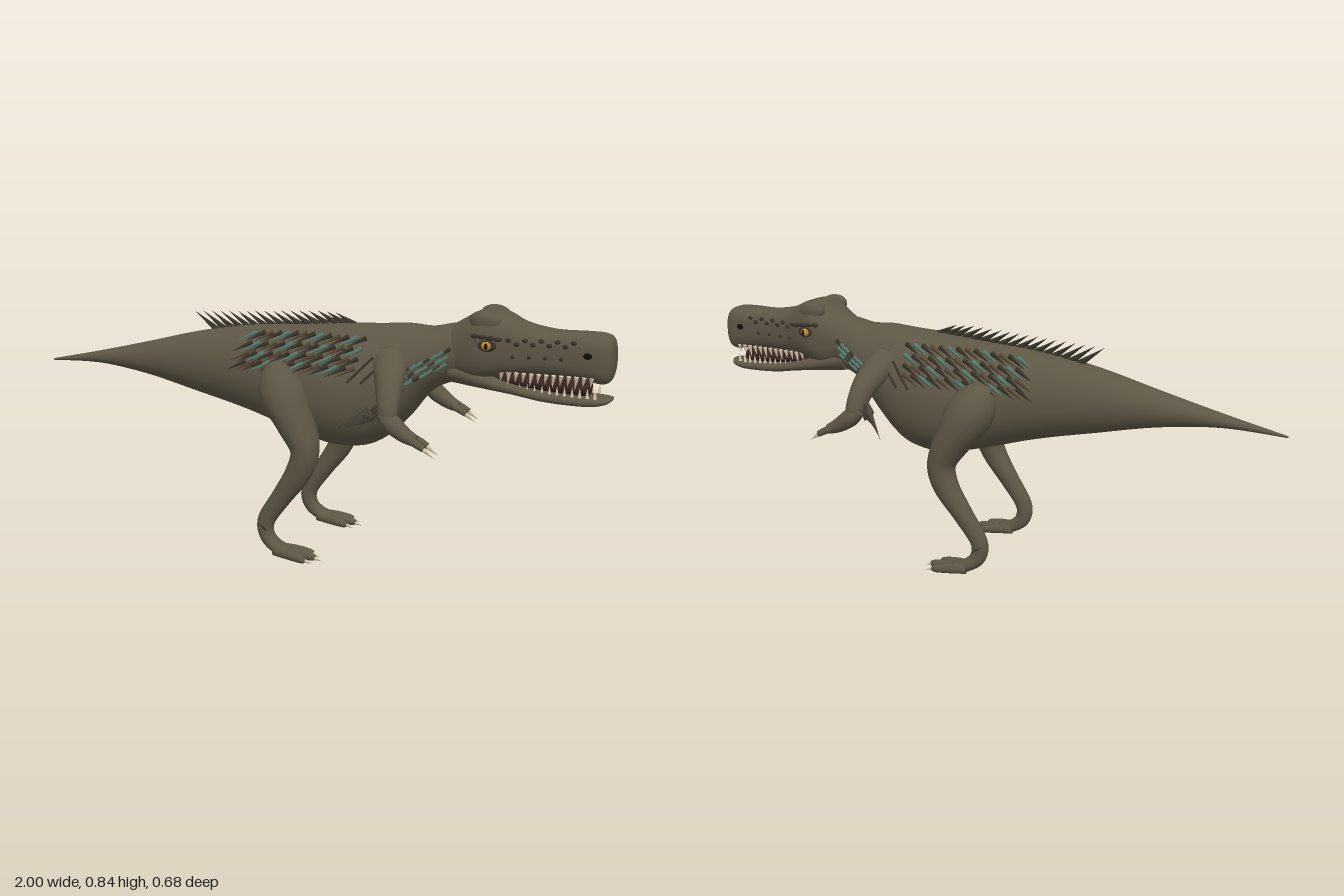
import * as THREE from 'three';

const mat = (name, color, side = THREE.FrontSide) => {
  const m = new THREE.MeshStandardMaterial({ color, side });
  m.name = name;
  return m;
};
const V = (x, y, z) => new THREE.Vector3(x, y, z);

// Section rows: x, y, z, height radius, side radius, squareness, belly bulge
const BODY = [
  [-1, .555, 0, .003, .003, 2, 0], [-.8, .58, 0, .022, .025, 2, 0], [-.6, .592, 0, .058, .055, 2, 0],
  [-.4, .595, 0, .105, .09, 2, 0], [-.2, .59, 0, .146, .124, 2, .04], [0, .568, 0, .183, .155, 2, .12],
  [.13, .56, 0, .202, .172, 2, .14], [.25, .572, 0, .196, .16, 2, .12], [.35, .617, 0, .158, .13, 2, .06],
  [.43, .665, 0, .106, .108, 2, 0], [.5, .692, 0, .093, .09, 2, 0], [.57, .7, 0, .085, .08, 2, 0]];
const HEAD = [
  [.44, .69, 0, .06, .06, 2, 0], [.52, .705, 0, .09, .085, 2.2, 0], [.58, .722, 0, .108, .1, 2.7, 0],
  [.62, .732, 0, .108, .102, 3, 0], [.67, .732, 0, .096, .093, 2.9, 0], [.73, .722, 0, .079, .076, 2.8, 0],
  [.82, .715, 0, .07, .067, 2.9, 0], [.91, .712, 0, .073, .066, 3, 0], [.965, .707, 0, .076, .064, 3, 0],
  [.99, .706, 0, .064, .052, 2.8, 0], [1, .706, 0, .035, .028, 2.5, 0]];
const JAW = [
  [.5, .645, 0, .045, .08, 2, 0], [.6, .624, 0, .034, .084, 2.2, 0], [.7, .601, 0, .021, .076, 2.4, 0],
  [.8, .584, 0, .02, .067, 2.5, 0], [.92, .577, 0, .017, .061, 2.5, 0], [.975, .58, 0, .012, .047, 2.4, 0],
  [.997, .586, 0, .005, .022, 2, 0]];

// Smooth interpolation of a row table, t in 0..1
function rowAt(rows, t) {
  const f = Math.min(t, .99999) * (rows.length - 1), i = Math.floor(f), u = f - i;
  const at = k => rows[Math.max(0, Math.min(rows.length - 1, k))];
  const [p, a, b, n] = [at(i - 1), at(i), at(i + 1), at(i + 2)];
  return a.map((v, k) => v + .5 * u * (b[k] - p[k] + u * (2 * p[k] - 5 * v + 4 * b[k] - n[k]
    + u * (3 * (v - b[k]) + n[k] - p[k]))));
}

// Skin a row table; rings follow the path, or stay upright when given a fixed tangent
function loft(rows, { steps = 30, seg = 20, ref = V(0, 0, 1), fixed = null } = {}) {
  const pos = [], idx = [];
  const point = t => V(...rowAt(rows, t).slice(0, 3));
  for (let i = 0; i <= steps; i++) {
    const t = i / steps, [x, y, z, ru, rw, n = 2, egg = 0] = rowAt(rows, t);
    const T = fixed || point(Math.min(1, t + .01)).sub(point(Math.max(0, t - .01))).normalize();
    const W = ref.clone().addScaledVector(T, -ref.dot(T)).normalize();
    const U = W.clone().cross(T);
    for (let j = 0; j < seg; j++) {
      const a = j / seg * Math.PI * 2, s = Math.sin(a), c = Math.cos(a);
      const v = Math.sign(s) * Math.abs(s) ** (2 / n), w = Math.sign(c) * Math.abs(c) ** (2 / n);
      const p = V(x, y, z).addScaledVector(U, ru * v).addScaledVector(W, rw * w * (1 - egg * v));
      pos.push(p.x, p.y, p.z);
      const k = (j + 1) % seg, A = i * seg + j, B = i * seg + k;
      if (i < steps) idx.push(A, A + seg, B, B, A + seg, B + seg);
    }
  }
  const first = pos.length / 3, last = steps * seg;
  pos.push(...rows[0].slice(0, 3), ...rows[rows.length - 1].slice(0, 3));
  for (let j = 0; j < seg; j++) {
    const k = (j + 1) % seg;
    idx.push(first, j, k, first + 1, last + k, last + j);
  }
  const g = new THREE.BufferGeometry();
  g.setAttribute('position', new THREE.Float32BufferAttribute(pos, 3));
  g.setIndex(idx);
  g.computeVertexNormals();
  return g;
}

// Half width of an upright loft at a given x and height
function sideZ(rows, x, y) {
  let lo = 0, hi = 1;
  for (let i = 0; i < 25; i++) {
    const m = (lo + hi) / 2;
    if (rowAt(rows, m)[0] < x) lo = m; else hi = m;
  }
  const [, cy, , ry, rz, n, egg] = rowAt(rows, lo), v = Math.max(-1, Math.min(1, (y - cy) / ry));
  return rz * (1 - egg * v) * (1 - Math.abs(v) ** n) ** (1 / n);
}

export function createModel() {
  const root = new THREE.Group();
  const skin = mat('olive skin', 0x5e5645), dark = mat('dark scale', 0x37332a);
  const teal = mat('teal quill', 0x527a6d), rust = mat('brown quill', 0x574534);
  const ivory = mat('ivory', 0xd6c8ae), amber = mat('amber', 0xc48a2c);
  const black = mat('black', 0x100e0c), mouth = mat('mouth', 0x3a2420);
  const feather = mat('fan feather', 0x4c473b, THREE.DoubleSide);

  const add = (parent, name, geo, m) => {
    const o = new THREE.Mesh(geo, m);
    o.name = name;
    parent.add(o);
    return o;
  };
  const group = name => {
    const g = new THREE.Group();
    g.name = name;
    root.add(g);
    return g;
  };
  const cone = new THREE.ConeGeometry(1, 1, 8), ball = new THREE.SphereGeometry(1, 16, 12);
  // Tapered spike from a to b, optionally flattened across
  const spike = (parent, name, a, b, r, m, flat = 1) => {
    const o = add(parent, name, cone, m), d = b.clone().sub(a);
    o.position.copy(a).add(b).multiplyScalar(.5);
    o.quaternion.setFromUnitVectors(V(0, 1, 0), d.clone().normalize());
    o.scale.set(r, d.length(), r * flat);
  };
  const blob = (parent, name, x, y, z, sx, sy, sz, m, tilt = 0) => {
    const o = add(parent, name, ball, m);
    o.position.set(x, y, z);
    o.scale.set(sx, sy, sz);
    o.rotation.z = tilt;
  };

  // Trunk, tail, neck and head
  const upright = { fixed: V(1, 0, 0), steps: 66, seg: 36 };
  add(root, 'body', loft(BODY, upright), skin);
  add(root, 'upperHead', loft(HEAD, upright), skin);
  add(root, 'lowerJaw', loft(JAW, upright), skin);
  add(root, 'mouthInterior', loft([[.6, .63, 0, .03, .06], [.75, .622, 0, .03, .052],
    [.88, .615, 0, .03, .046], [.93, .612, 0, .025, .035]], upright), mouth);

  // Leaning spines along the back
  const spines = group('backSpines');
  for (let i = 0; i < 17; i++) {
    const x = -.33 + i * .031, k = 1 - i / 17, y = .712 + .05 * Math.min(1, i / 14);
    spike(spines, 'spine', V(x, y - .005, 0), V(x - .065 - .02 * k, y + .03 + .026 * k, 0), .012, dark, .8);
  }

  for (const s of [1, -1]) {
    const side = s > 0 ? 'left' : 'right';
    const mirror = rows => rows.map(([x, y, z, ...r]) => [x, y, z * s, ...r]);
    const limb = (parent, name, rows, o) => add(parent, name, loft(mirror(rows), o), skin);

    // Leg with three clawed toes and a dewclaw
    const leg = group(side + 'Leg');
    limb(leg, 'legShape', [[-.06, .615, .1, .05, .05], [-.025, .555, .148, .078, .08], [.03, .46, .168, .062, .076],
      [.068, .375, .183, .047, .055], [.05, .3, .19, .043, .041], [-.01, .21, .188, .034, .031],
      [-.066, .125, .187, .03, .024], [-.065, .07, .187, .027, .023], [-.03, .036, .189, .022, .03],
      [.02, .022, .19, .016, .034]], { steps: 45 });
    for (const d of [-1, 0, 1]) {
      const z = .19 + d * .021, e = .19 + d * .035, l = d ? 0 : .02;
      limb(leg, 'toe', [[-.03, .026, z, .016, .013], [.03, .021, z + d * .007, .017, .014],
        [.075 + l, .015, e, .013, .012], [.087 + l, .013, e, .007, .007]], { steps: 10, seg: 12 });
      spike(leg, 'toeClaw', V(.078 + l, .014, e * s), V(.112 + l, .005, e * s), .009, ivory);
    }
    spike(leg, 'dewclaw', V(-.08, .11, .2 * s), V(-.055, .09, .214 * s), .009, dark);

    // Arm with two clawed fingers
    const arm = group(side + 'Arm');
    limb(arm, 'upperArm', [[.32, .67, .08, .05, .06], [.335, .643, .135, .042, .052], [.35, .6, .188, .037, .042],
      [.36, .545, .226, .032, .033], [.367, .512, .236, .026, .026]], { ref: V(1, 0, 0) });
    limb(arm, 'forearm', [[.345, .535, .231, .022, .024], [.375, .505, .237, .03, .031], [.42, .473, .24, .024, .028],
      [.455, .457, .24, .017, .025]], { steps: 14 });
    for (const d of [-1, 1]) {
      const z = .24 + d * .02;
      limb(arm, 'finger', [[.435, .466, z - d * .005, .013, .012], [.465, .452, z, .012, .011],
        [.487, .44, z, .01, .01]], { steps: 8, seg: 12 });
      spike(arm, 'fingerClaw', V(.478, .445, z * s), V(.522, .413, z * s), .01, ivory);
    }

    // Feather fan behind the elbow
    const fan = group(side + 'ArmFan');
    for (let i = 0; i < 7; i++) {
      const k = i / 6, a = V(.36 - .01 * k, .585 - .05 * k, (.185 + .035 * k) * s);
      const b = V(.205 + .065 * k, .48 + .012 * k, (.34 - .075 * k) * s);
      spike(fan, 'fanFeather', b.clone().lerp(a, .62), b, .014, feather, .35);
      spike(fan, 'fanQuill', b.clone().lerp(a, .5), a, .014, i % 2 ? dark : feather, .35);
    }

    // Rows of flank quills
    const quills = group(side + 'FlankQuills');
    [.71, .68, .65, .622].forEach((y, r) => {
      for (let i = 0; i < 14; i++) {
        const x = -.17 + i * .03 - r * .006, yy = y + (x > 0 ? .012 : x * .06 + .012);
        const z = sideZ(BODY, x, yy);
        spike(quills, 'quill', V(x + .02, yy + .012, (z - .004) * s), V(x - .045, yy - .02, (z + .022) * s),
          .0085, [teal, dark, rust, dark][(i + r * 3) % 4]);
      }
    });

    // Neck quills and dark shoulder folds
    const neck = group(side + 'NeckQuills');
    for (let r = 0; r < 3; r++) for (let i = 0; i < 8; i++) {
      const x = .5 - i * .02 - r * .006, y = .71 - i * .011 - r * .024, z = sideZ(BODY, x, y);
      spike(neck, 'neckQuill', V(x + .012, y + .008, (z - .003) * s), V(x - .03, y - .022, (z + .014) * s),
        .007, (i + r) % 3 ? teal : dark);
    }
    for (const x of [.2, .245]) {
      const at = k => {
        const px = x + .075 * k, py = .6 + .08 * k;
        return V(px, py, sideZ(BODY, px, py) * s);
      };
      const path = new THREE.CatmullRomCurve3([at(0), at(.33), at(.67), at(1)]);
      add(neck, 'shoulderFold', new THREE.TubeGeometry(path, 10, .004, 6), dark);
    }

    // Eye under a raised brow
    const face = group(side + 'Face');
    blob(face, 'brow', .615, .808, .073 * s, .05, .032, .022, skin, -.12);
    blob(face, 'eyeSocket', .625, .738, .096 * s, .032, .021, .01, dark);
    blob(face, 'eye', .627, .738, .1 * s, .016, .014, .014, amber);
    blob(face, 'pupil', .629, .738, .1125 * s, .005, .01, .003, black);
    for (let i = 0; i < 4; i++) blob(face, 'browScale', .59 + i * .024, .766 - i * .002, .1 * s, .013, .007, .008, dark);

    // Snout scales and nostril
    for (let i = 0; i < 9; i++) {
      const x = .69 + i * .024, y = .757 - (i % 2) * .012;
      blob(face, 'snoutScale', x, y, sideZ(HEAD, x, y) * s, .009, .007, .005, dark);
      if (i % 2) blob(face, 'cheekScale', x - .01, .707, sideZ(HEAD, x - .01, .707) * s, .006, .006, .004, dark);
    }
    blob(face, 'nostril', .925, .722, sideZ(HEAD, .925, .722) * s, .013, .01, .004, black);

    // Teeth
    for (let i = 0; i < 13; i++) {
      const x = .67 + i * .0225, z = .067 - i * .001, h = .022 + .011 * (i % 3 === 1);
      spike(face, 'upperTooth', V(x, .655, z * s), V(x - .004, .646 - h, (z - .003) * s), .0075, ivory);
      if (i > 1) spike(face, 'lowerTooth', V(x + .01, .59, (z - .011) * s), V(x + .01, .622, (z - .009) * s), .006, ivory);
    }
  }
  return root;
}
